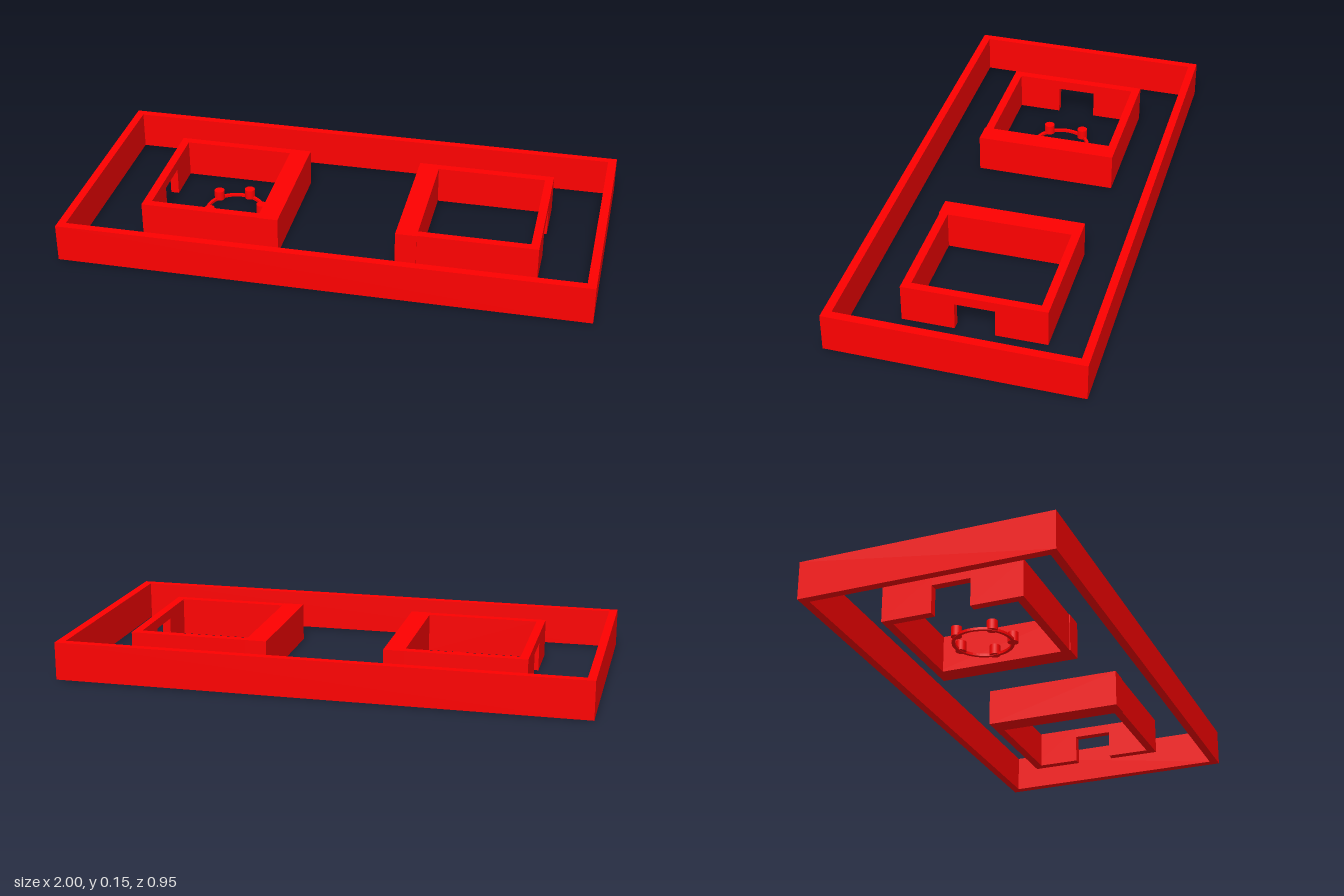
import * as THREE from 'three';

const BASE = 0.002, TOP = 0.147;
const material = new THREE.MeshStandardMaterial({ color: 0xff0000 });

function add(parent, name, geometry) {
  const mesh = new THREE.Mesh(geometry, material);
  mesh.name = name;
  parent.add(mesh);
  return mesh;
}

// Axis-aligned block given by its limits
function block(parent, name, [x0, x1], [y0, y1], [z0, z1]) {
  add(parent, name, new THREE.BoxGeometry(x1 - x0, y1 - y0, z1 - z0))
    .position.set((x0 + x1) / 2, (y0 + y1) / 2, (z0 + z1) / 2);
}

// Plan outline of [x, z] corners, with a hole, raised to a height.
// Corners run clockwise from above; reversed so that the hole's walls face inwards.
function extrudePlan(outer, hole, height) {
  const points = (list) => list.map(([x, z]) => new THREE.Vector2(x, -z)).reverse();
  const shape = new THREE.Shape(points(outer));
  shape.holes.push(new THREE.Path(points(hole)));
  return new THREE.ExtrudeGeometry(shape, { depth: height, bevelEnabled: false })
    .rotateX(-Math.PI / 2);
}

const polar = (r, degrees) => {
  const a = THREE.MathUtils.degToRad(degrees);
  return [r * Math.cos(a), r * Math.sin(a)];
};
const circle = (r, n) => Array.from({ length: n }, (_, i) => polar(r, (i / n) * 360));

// Walled room: thick wall towards the centre, doorway in the outer wall
function room(name, outerX, innerX, thickness) {
  const group = new THREE.Group();
  group.name = name;
  const s = Math.sign(outerX), w = 0.032;
  const span = (a, b) => [Math.min(a, b), Math.max(a, b)];
  const high = [BASE, TOP], back = -0.28, front = 0.257;
  const doorBack = -0.088, doorFront = 0.06;
  const thickEdge = innerX + s * thickness, thinEdge = outerX - s * w;
  const thin = span(outerX, thinEdge), between = span(thinEdge, thickEdge);
  block(group, 'thickWall', span(innerX, thickEdge), high, [back, front + 0.003]);
  block(group, 'backWall', between, high, [back, back + w]);
  block(group, 'frontWall', between, high, [front - w, front]);
  block(group, 'doorWallBack', thin, high, [back, doorBack]);
  block(group, 'doorWallFront', thin, high, [doorFront, front]);
  block(group, 'doorLintel', thin, [0.11, TOP], [doorBack, doorFront]);
  return group;
}

export function createModel() {
  const model = new THREE.Group();
  model.name = 'enclosure';

  // Slightly skewed outer wall
  add(model, 'outerWall', extrudePlan(
    [[-0.995, -0.471], [1, -0.475], [0.992, 0.469], [-1, 0.475]],
    [[-0.964, -0.44], [0.967, -0.445], [0.959, 0.437], [-0.969, 0.444]],
    TOP - BASE)).position.y = BASE;

  model.add(room('rightRoom', -0.738, -0.206, 0.078));
  model.add(room('leftRoom', 0.77, 0.24, 0.08));

  // Floor ring with five pegs
  const ring = new THREE.Group();
  ring.name = 'pegRing';
  ring.position.set(-0.451, 0, -0.013);
  add(ring, 'ring', extrudePlan(circle(0.114, 48), circle(0.102, 48), 0.01));
  for (const angle of [0, 72, 140, 220, 288]) {
    const [x, z] = polar(0.108, angle);
    add(ring, 'peg', new THREE.CylinderGeometry(0.02, 0.02, 0.038, 20)).position.set(x, 0.021, z);
  }
  model.add(ring);
  return model;
}
